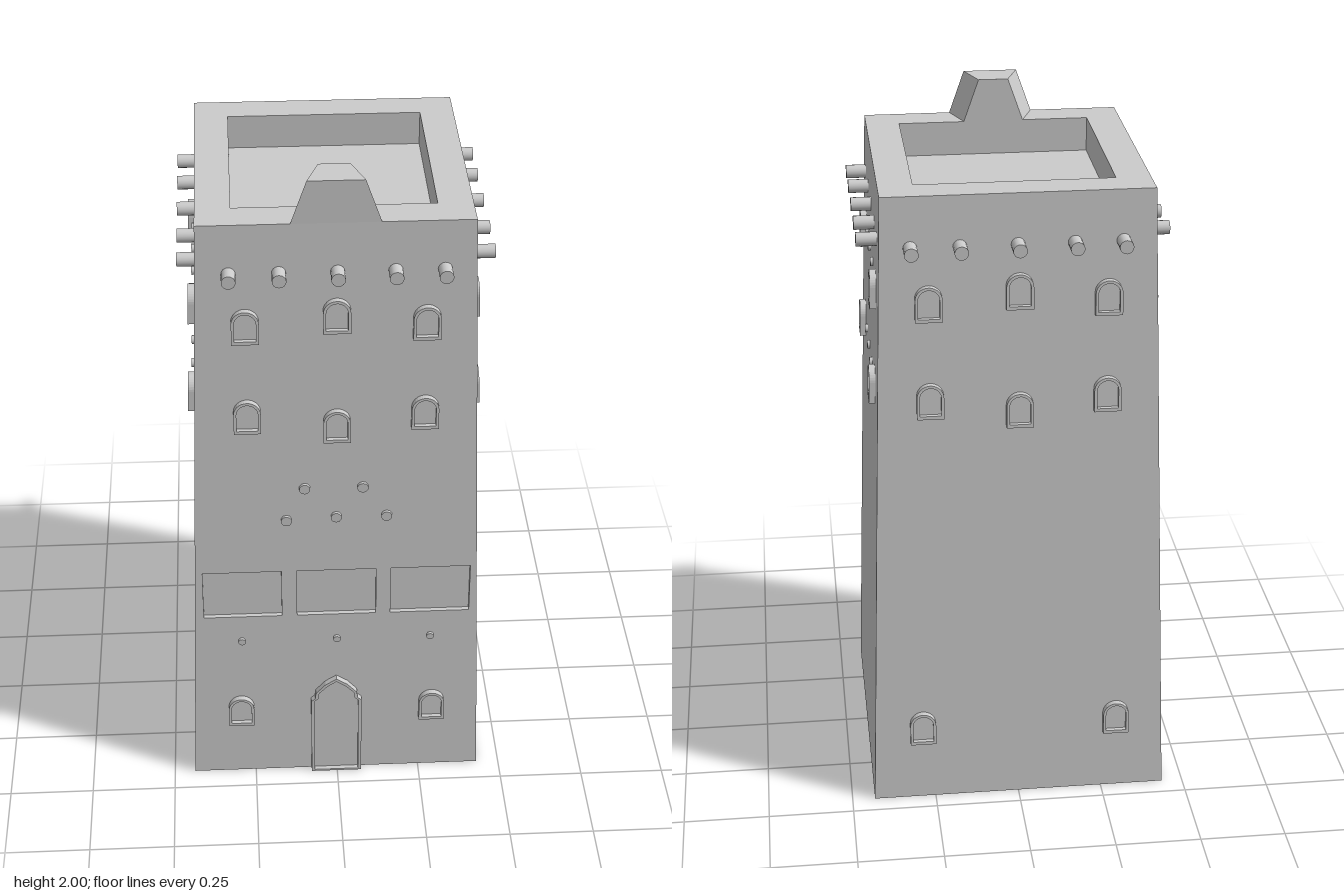
import * as THREE from 'three';

const H = 1.875;
const half = (y) => 0.4355 - 0.0605 * (y / H); // half width of the tapering tower
const grey = new THREE.MeshStandardMaterial({ color: 0xcccccc, side: THREE.DoubleSide });

function add(parent, name, geo) {
  const mesh = new THREE.Mesh(geo, grey);
  mesh.name = name;
  parent.add(mesh);
  return mesh;
}

// Shift a part drawn on a flat wall outward so that it follows the lean of the wall
function lean(geo) {
  const p = geo.attributes.position;
  for (let i = 0; i < p.count; i++) p.setZ(i, p.getZ(i) + half(p.getY(i)));
  geo.computeVertexNormals();
  return geo;
}

// Box without one of its six faces (order: +x -x +y -y +z -z)
function openBox(w, h, d, face) {
  const geo = new THREE.BoxGeometry(w, h, d);
  geo.setIndex(Array.from(geo.index.array).filter((_, i) => Math.floor(i / 6) !== face));
  geo.clearGroups();
  return geo;
}

const polygon = (pts) => new THREE.Shape(pts.map(([x, y]) => new THREE.Vector2(x, y)));
const rect = (x0, x1, y0, y1) => polygon([[x0, y0], [x1, y0], [x1, y1], [x0, y1]]);

// Round-headed opening
function arch(w, y0, y1) {
  const s = new THREE.Shape();
  s.moveTo(-w, y0);
  s.lineTo(w, y0);
  s.lineTo(w, y1 - w);
  s.absarc(0, y1 - w, w, 0, Math.PI, false);
  s.closePath();
  return s;
}

// Pointed doorway with small shoulders, inset by t
function doorShape(t) {
  const side = [[0.076 - t, t * 0.6], [0.076 - t, 0.275], [0.064 - t, 0.285],
    [0.062 - t, 0.305], [0.033 - t * 0.6, 0.337 - t * 0.7]];
  const mirror = side.map(([x, y]) => [-x, y]).reverse();
  return polygon([...side, [0, 0.358 - t], ...mirror]);
}

// Raised frame with a thin pane set inside it
function framed(parent, name, outer, inner, x, y, depth) {
  const group = new THREE.Group();
  group.name = name;
  parent.add(group);
  const pane = new THREE.ShapeGeometry(inner, 8).translate(x, y, 0.005);
  outer.holes.push(inner);
  const frame = new THREE.ExtrudeGeometry(outer, { depth: depth + 0.01, bevelEnabled: false, curveSegments: 8 });
  add(group, name + 'Frame', lean(frame.translate(x, y, -0.01)));
  add(group, name + 'Pane', lean(pane));
}

function addWindow(parent, x, y) {
  framed(parent, 'window', arch(0.038, 0, 0.101), arch(0.03, 0.01, 0.093), x, y, 0.018);
}

// Short round peg standing out of the wall
function addPeg(parent, name, x, y, r, end, sides) {
  const start = half(y) - 0.015;
  const geo = new THREE.CylinderGeometry(r, r, end - start, sides);
  geo.rotateX(Math.PI / 2).translate(x, y, (start + end) / 2);
  add(parent, name, geo);
}

export function createModel() {
  const model = new THREE.Group();
  model.name = 'tower';
  const body = new THREE.Group();
  body.name = 'towerBody';
  body.position.set(-0.0025, 0, -0.0075);
  model.add(body);

  const panels = [[-0.39, -0.16], [-0.115, 0.117], [0.16, 0.393]];
  const pipeEnds = [0.4275, 0.4375, 0.436, 0.4275];
  const names = ['frontSide', 'leftSide', 'backSide', 'rightSide'];

  names.forEach((name, k) => {
    const side = new THREE.Group();
    side.name = name;
    side.rotation.y = (k * Math.PI) / 2;
    body.add(side);

    // Leaning wall, with openings for the recessed panels at the front
    const b = half(0), t = half(H);
    const wall = polygon([[-b, 0], [b, 0], [t, H], [-t, H]]);
    if (k === 0) wall.holes = panels.map(([x0, x1]) => rect(x0, x1, 0.588, 0.748));
    add(side, 'wall', lean(new THREE.ShapeGeometry(wall)));

    // Drain pipes under the parapet
    const shift = k === 2 ? -0.006 : 0;
    for (const x of [-0.289, -0.154, 0.004, 0.16, 0.293]) {
      addPeg(side, 'drainPipe', x + shift, 1.73, 0.0195, pipeEnds[k], 16);
    }

    // Two rows of upper windows
    for (const x of [-0.248, 0.248]) {
      addWindow(side, x, 1.521);
      addWindow(side, x, 1.235);
    }

    if (k % 2 === 0) {
      // Middle and ground floor windows at front and back
      addWindow(side, 0.002, 1.548);
      addWindow(side, 0.002, 1.198);
      for (const x of [-0.287, 0.289]) addWindow(side, x, 0.189);
    } else {
      // Rows of studs between the side windows
      for (const x of [-0.125, 0, 0.125]) {
        for (const y of [1.6, 1.295]) addPeg(side, 'stud', x, y, 0.013, half(y) + 0.008, 10);
      }
    }

    if (k === 0) {
      // Recessed panels
      for (const [x0, x1] of panels) {
        const geo = openBox(x1 - x0, 0.16, 0.014, 4);
        add(side, 'recessedPanel', lean(geo.translate((x0 + x1) / 2, 0.668, -0.007)));
      }
      // Studs above and below the panels
      const studs = [[-0.09, 1.038, 0.016], [0.076, 1.038, 0.016], [-0.143, 0.93, 0.016], [0, 0.938, 0.016],
        [0.145, 0.938, 0.016], [-0.28, 0.5, 0.011], [0.002, 0.5, 0.011], [0.28, 0.5, 0.011]];
      for (const [x, y, r] of studs) addPeg(side, 'stud', x, y, r, half(y) + 0.009, 10);
      // Door
      framed(side, 'door', doorShape(0), doorShape(0.01), 0, 0, 0.019);
    }
  });

  // Parapet rim and the sunken roof inside it
  const t = half(H), r = 0.278, drop = 0.1;
  const rim = rect(-t, t, -t, t);
  rim.holes.push(rect(-r, r, -r, r));
  add(body, 'parapetRim', new THREE.ShapeGeometry(rim).rotateX(-Math.PI / 2).translate(0, H, 0));
  add(body, 'sunkenRoof', openBox(r * 2, drop, r * 2, 2).translate(0, H - drop / 2, 0));

  // Crest over the door, narrower at the top and at the back
  const crest = new THREE.BoxGeometry(1, 1, 1);
  const p = crest.attributes.position;
  for (let i = 0; i < p.count; i++) {
    const up = p.getY(i) + 0.5, back = 0.5 - p.getZ(i);
    const w = 0.122 - 0.044 * up - 0.035 * back;
    p.setXYZ(i, Math.sign(p.getX(i)) * w, H + up * (2 - H), t - back * (t - r));
  }
  crest.computeVertexNormals();
  add(body, 'crest', crest);

  return model;
}
